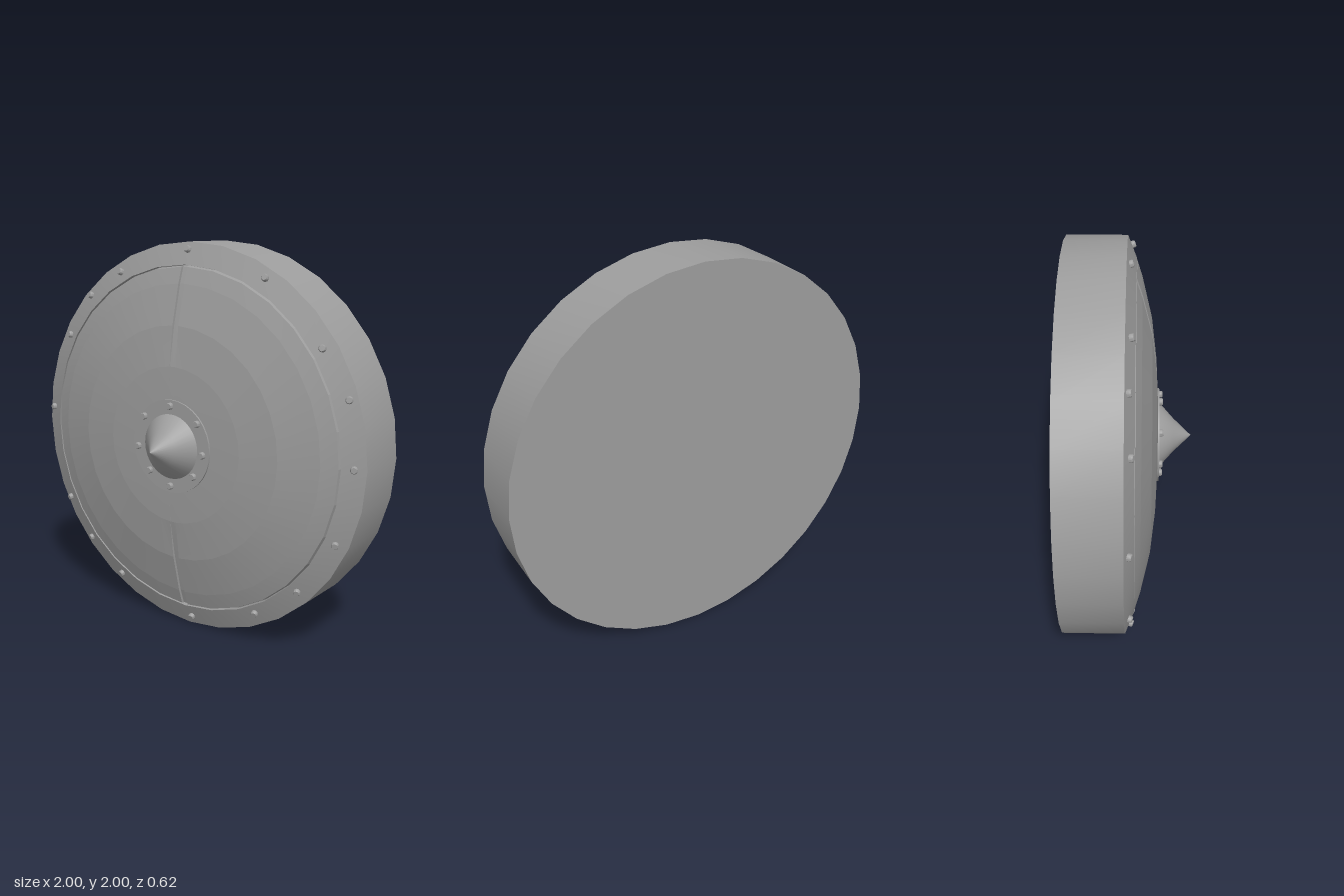
import * as THREE from 'three';
import { toCreasedNormals } from 'three/addons/utils/BufferGeometryUtils.js';

const SIDES = 32;
const RIM_SLOPE = 0.4;
const material = new THREE.MeshStandardMaterial({ color: 0x9d9d9d });

function addMesh(parent, name, geometry) {
  const mesh = new THREE.Mesh(geometry, material);
  mesh.name = name;
  parent.add(mesh);
  return mesh;
}

const toPoints = (pairs) => pairs.map(([r, z]) => new THREE.Vector2(r, z));

// Lathe turned so that its axis points to the front (+z), smooth around and sharp at edges
function frontLathe(pairs, sides = SIDES) {
  const geometry = new THREE.LatheGeometry(toPoints(pairs), sides).rotateX(Math.PI / 2);
  return toCreasedNormals(geometry, 0.7);
}

// Domed face whose columns sink near the top and bottom to cut the vertical seam
function domeGeometry() {
  const profile = [[0.885, 0.01], [0.88, 0.034], [0.8, 0.06], [0.6, 0.108], [0.4, 0.132], [0.2, 0.142], [0, 0.144]];
  const halfGap = 0.018;
  // Each column: base angle, side of the seam it borders (-1, 0, 1), sunk or not
  const columns = [];
  for (const start of [0, Math.PI]) {
    columns.push([start, 0, true], [start, 1, true], [start, 1, false]);
    for (let i = 1; i < SIDES / 2; i++) columns.push([start + (i * 2 * Math.PI) / SIDES, 0, false]);
    columns.push([start + Math.PI, -1, false], [start + Math.PI, -1, true]);
  }
  columns.push([Math.PI * 2, 0, true]);

  const geometry = new THREE.LatheGeometry(toPoints(profile), columns.length - 1);
  const position = geometry.attributes.position;
  columns.forEach(([base, side, sunk], c) => {
    profile.forEach(([r, z], p) => {
      const angle = base + side * Math.min(halfGap / Math.max(r, 0.1), 0.1);
      const depth = !sunk || p === 0 || r < 0.3 ? 0 : r > 0.5 ? 0.014 : 0.001;
      position.setXYZ(c * profile.length + p, r * Math.sin(angle), z - depth, r * Math.cos(angle));
    });
  });
  // Small crease angle: smooth around each band, stepped between bands
  return toCreasedNormals(geometry.rotateX(Math.PI / 2), 0.065);
}

// Rivets: small round studs standing square to a surface of the given slope
function addRivets(parent, name, places, slope, zAt) {
  const rivets = new THREE.Group();
  rivets.name = name;
  const geometry = frontLathe([[0.018, -0.015], [0.018, 0.012], [0.014, 0.018], [0, 0.018]], 10);
  const forward = new THREE.Vector3(0, 0, 1);
  for (const [x, height] of places) {
    const y = height - 1;
    const normal = new THREE.Vector3(x, y, 0).setLength(slope).add(forward).normalize();
    const rivet = addMesh(rivets, 'rivet', geometry);
    rivet.position.set(x, y, zAt(Math.hypot(x, y)));
    rivet.quaternion.setFromUnitVectors(forward, normal);
  }
  parent.add(rivets);
}

export function createModel() {
  const shield = new THREE.Group();
  shield.name = 'roundShield';
  shield.position.y = 1;

  // Thick body with flat back and sloping front rim
  addMesh(shield, 'bodyAndRim', frontLathe([
    [0, -0.312], [1, -0.312], [1, -0.012], [0.89, 0.032], [0.888, 0.008], [0.87, 0.008],
  ]));
  addMesh(shield, 'domedFace', domeGeometry());

  // Central boss: thin plate and pointed spike
  addMesh(shield, 'bossPlate', frontLathe([[0.238, 0.12], [0.238, 0.149], [0, 0.149]]));
  addMesh(shield, 'bossSpike', frontLathe([[0.168, 0.14], [0.165, 0.15], [0.085, 0.222], [0, 0.312]]));

  addRivets(shield, 'rimRivets', [
    [0, 1.962], [0.45, 1.84], [0.765, 1.54], [0.905, 1.32],
    [0.945, 1.005], [0.865, 0.63], [0.67, 0.35], [0.43, 0.175],
    [0.03, 0.05], [-0.455, 0.18], [-0.68, 0.345], [-0.84, 0.555],
    [-0.95, 1.07], [-0.8, 1.49], [-0.65, 1.71], [-0.43, 1.84],
  ], RIM_SLOPE, (r) => -0.012 + RIM_SLOPE * (1 - r));

  addRivets(shield, 'bossRivets', [
    [0, 1.207], [0.165, 1.137], [0.198, 0.985], [0.143, 0.868],
    [0, 0.797], [-0.132, 0.86], [-0.207, 0.977], [-0.165, 1.137],
  ], 0, () => 0.149);

  const model = new THREE.Group();
  model.name = 'shield';
  model.add(shield);
  return model;
}
